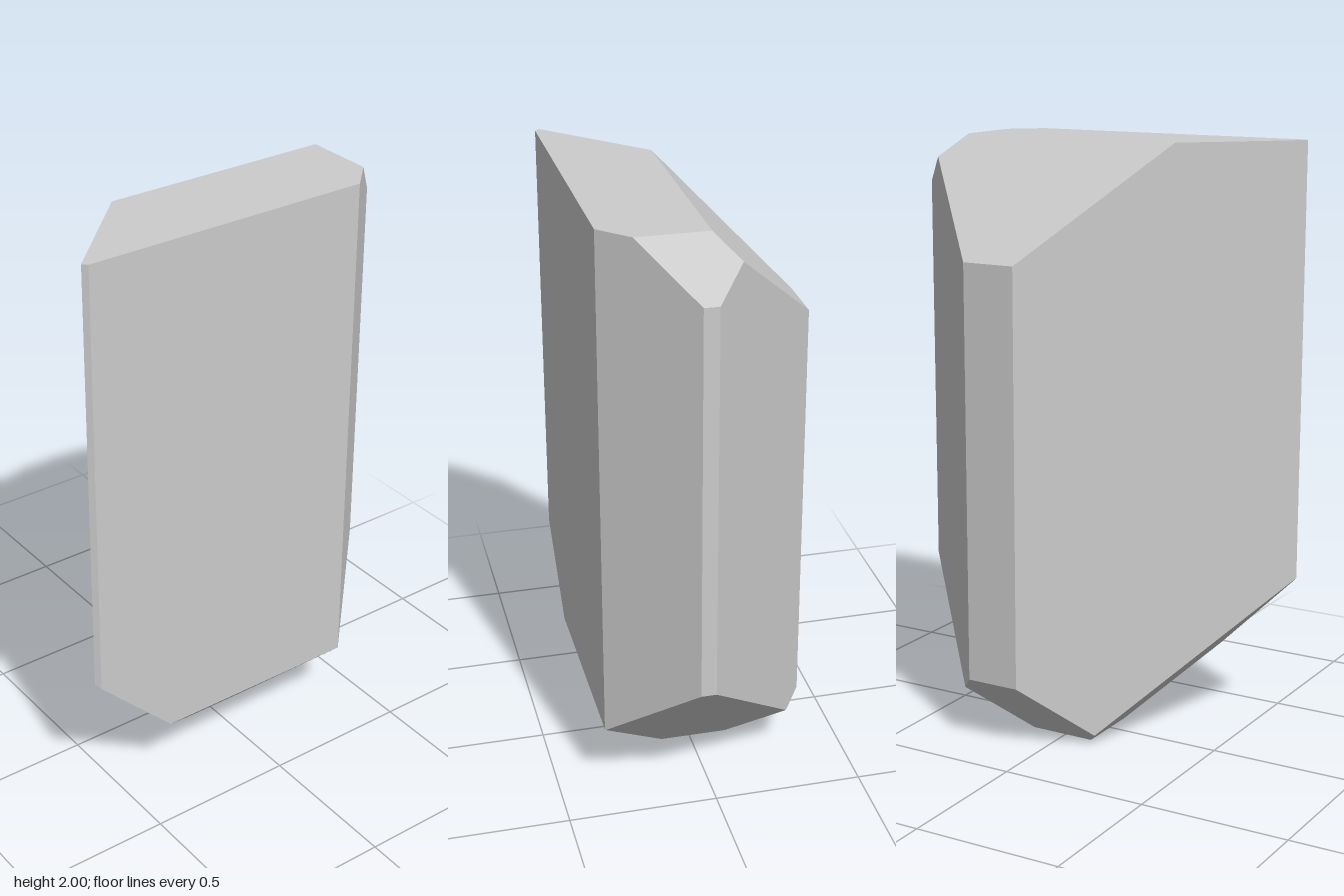
import * as THREE from 'three';

// Each facet is a half-space: [normal x, y, z, limit], meaning n . p <= limit
const FACETS = [
  // straight sides, top and base
  [1, 0, 0, 0.35], [-1, 0, 0, 0.353],
  [0, 1, 0, 2], [0, -1, 0, 0],
  [0, 0, 1, 0.632], [0, 0, -1, 0.632],
  // upright bevels
  [-1, 0, 1, 0.297], [-1, 0, -1, 0.594], [1, 0, -1, 0.72], [1, 0, 1, 0.967],
  // top bevels
  [-1, 1, 0, 1.98], [0, 1, -1, 2.464],
  // base bevels
  [-1, -1, 0, 0.13], [1, -1, 0, 0.1], [0, -1, 1, 0.1], [0, -1, -1, 0.124],
];

// Corners of the solid: triple intersections that lie inside every half-space
function findCorners(planes) {
  const corners = [];
  const m = new THREE.Matrix3();
  for (let i = 0; i < planes.length; i++)
    for (let j = i + 1; j < planes.length; j++)
      for (let k = j + 1; k < planes.length; k++) {
        const [a, b, c] = [planes[i], planes[j], planes[k]];
        m.set(a[0], a[1], a[2], b[0], b[1], b[2], c[0], c[1], c[2]);
        if (Math.abs(m.determinant()) < 1e-6) continue;
        const p = new THREE.Vector3(a[3], b[3], c[3]).applyMatrix3(m.invert());
        const inside = planes.every(([x, y, z, d]) => x * p.x + y * p.y + z * p.z <= d + 1e-6);
        if (inside && !corners.some((q) => q.distanceTo(p) < 1e-5)) corners.push(p);
      }
  return corners;
}

// Order the corners of every facet around its normal and fan them into triangles
function crystalGeometry(planes) {
  const corners = findCorners(planes);
  const positions = [];
  for (const [x, y, z, d] of planes) {
    const n = new THREE.Vector3(x, y, z);
    const ring = corners.filter((p) => Math.abs(n.dot(p) - d) < 1e-5);
    if (ring.length < 3) continue;
    n.normalize();
    const centre = ring.reduce((s, p) => s.add(p), new THREE.Vector3()).divideScalar(ring.length);
    const u = new THREE.Vector3(-n.y, n.z, n.x).cross(n).normalize();
    const v = n.clone().cross(u);
    const angle = (p) => {
      const r = p.clone().sub(centre);
      return Math.atan2(r.dot(v), r.dot(u));
    };
    ring.sort((p, q) => angle(p) - angle(q));
    for (let i = 1; i < ring.length - 1; i++)
      for (const p of [ring[0], ring[i], ring[i + 1]]) positions.push(p.x, p.y, p.z);
  }
  const geometry = new THREE.BufferGeometry();
  geometry.setAttribute('position', new THREE.Float32BufferAttribute(positions, 3));
  geometry.computeVertexNormals();
  return geometry;
}

export function createModel() {
  const group = new THREE.Group();
  group.name = 'crystal';
  const material = new THREE.MeshStandardMaterial({ color: 0xcccccc, flatShading: true });
  const body = new THREE.Mesh(crystalGeometry(FACETS), material);
  body.name = 'facetedBody';
  group.add(body);
  return group;
}
